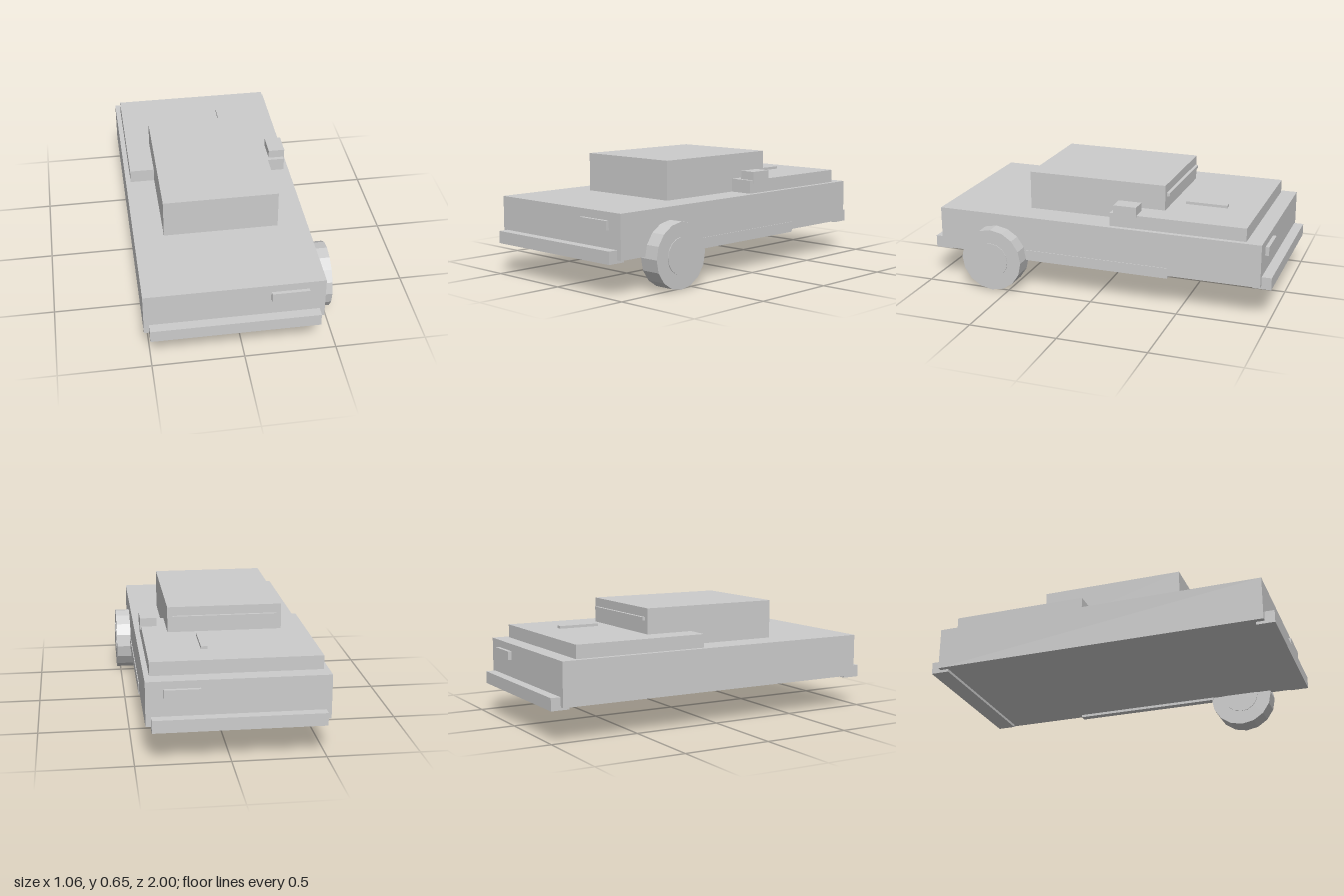
import * as THREE from 'three';

const material = new THREE.MeshStandardMaterial({ color: 0xcccccc, flatShading: true });

// Box given by its extents on each axis
function box(name, [x0, x1], [y0, y1], [z0, z1]) {
  const mesh = new THREE.Mesh(new THREE.BoxGeometry(x1 - x0, y1 - y0, z1 - z0), material);
  mesh.position.set((x0 + x1) / 2, (y0 + y1) / 2, (z0 + z1) / 2);
  mesh.name = name;
  return mesh;
}

// Disc with its axle along x
function disc(name, radius, x0, x1) {
  const geometry = new THREE.CylinderGeometry(radius, radius, x1 - x0, 16).rotateZ(Math.PI / 2);
  const mesh = new THREE.Mesh(geometry, material);
  mesh.position.x = (x0 + x1) / 2;
  mesh.name = name;
  return mesh;
}

export function createModel() {
  const car = new THREE.Group();
  car.name = 'car';

  // Main masses
  car.add(
    box('body', [-0.53, 0.437], [0.19, 0.432], [-0.945, 0.945]),
    box('cabin', [-0.364, 0.271], [0.42, 0.65], [-0.36, 0.447]),
    box('rearDeck', [-0.502, 0.409], [0.42, 0.507], [-0.855, -0.083])
  );

  // Bumpers
  car.add(
    box('frontBumper', [-0.502, 0.409], [0.174, 0.243], [0.897, 1]),
    box('rearBumper', [-0.502, 0.409], [0.174, 0.243], [-1, -0.897])
  );

  // Lamps
  car.add(
    box('headlight', [0.146, 0.348], [0.338, 0.388], [0.93, 0.964]),
    box('tailLight', [0.152, 0.342], [0.342, 0.391], [-0.966, -0.93])
  );

  // Small fittings
  car.add(
    box('sideMirror', [0.321, 0.414], [0.49, 0.555], [-0.238, -0.106]),
    box('deckHandle', [0.085, 0.121], [0.5, 0.522], [-0.675, -0.437]),
    box('rearWindowTrim', [-0.338, 0.243], [0.581, 0.6], [-0.377, -0.35]),
    box('sideSill', [0.4, 0.441], [0.175, 0.235], [-0.427, 0.427])
  );

  // Single front wheel with its hub
  const wheel = new THREE.Group();
  wheel.name = 'frontWheel';
  wheel.position.set(0, 0.181, 0.595);
  wheel.add(disc('tire', 0.181, 0.406, 0.522), disc('hub', 0.101, 0.402, 0.526));
  car.add(wheel);

  return car;
}
